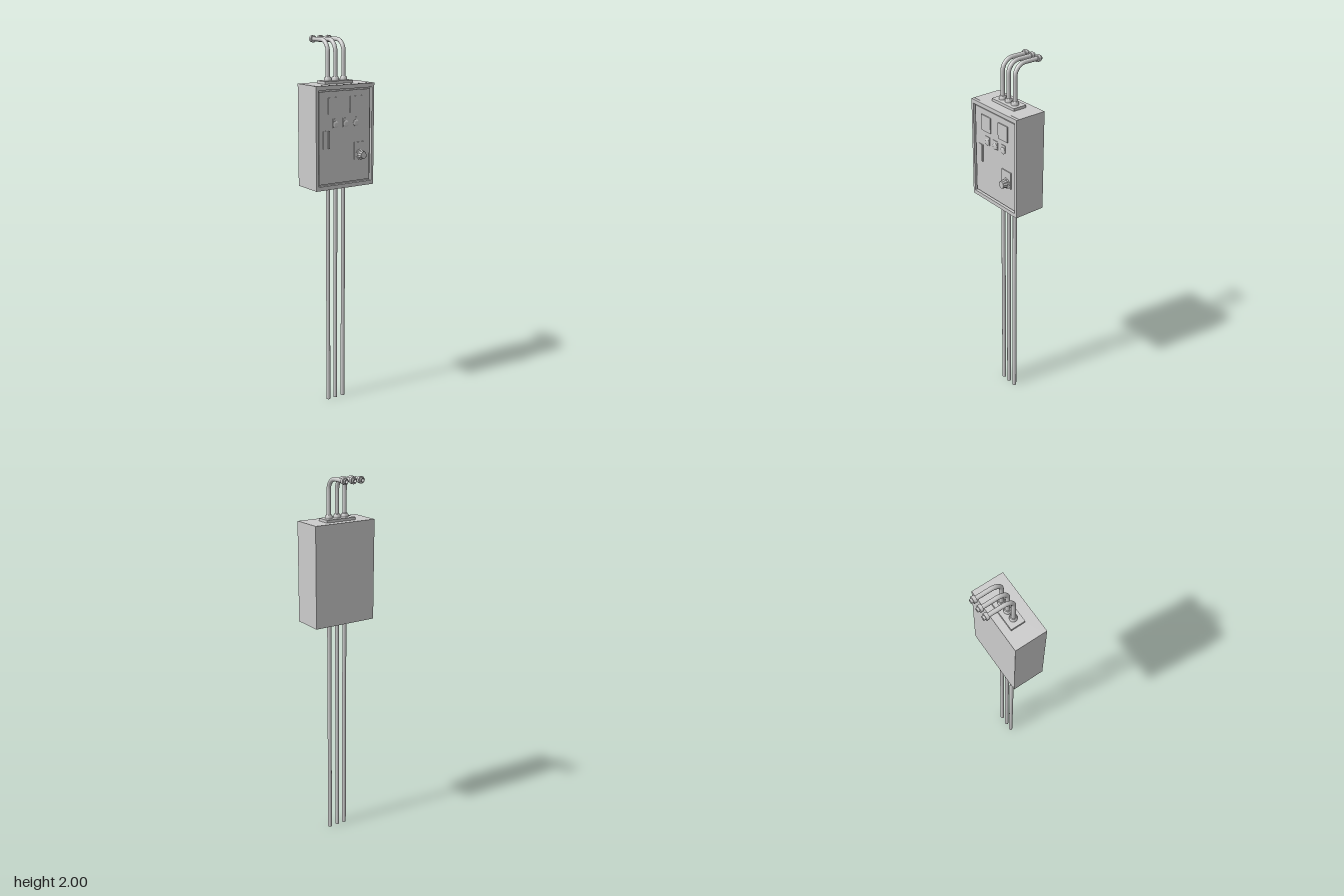
import * as THREE from 'three';
import { toCreasedNormals } from 'three/addons/utils/BufferGeometryUtils.js';

const material = new THREE.MeshStandardMaterial({ color: 0xcccccc });
const openMaterial = new THREE.MeshStandardMaterial({ color: 0xcccccc, side: THREE.DoubleSide });

function add(parent, name, geometry, x = 0, y = 0, z = 0, mat = material) {
  const mesh = new THREE.Mesh(geometry, mat);
  mesh.name = name;
  mesh.position.set(x, y, z);
  parent.add(mesh);
  return mesh;
}

// Box given by its limits on each axis
function block(parent, name, [x0, x1], [y0, y1], [z0, z1]) {
  return add(parent, name, new THREE.BoxGeometry(x1 - x0, y1 - y0, z1 - z0),
    (x0 + x1) / 2, (y0 + y1) / 2, (z0 + z1) / 2);
}

function rectangle(PathType, w, h) {
  return new PathType([[-w, -h], [w, -h], [w, h], [-w, h]].map(([x, y]) => new THREE.Vector2(x, y)));
}

function lathe(points, segments = 20) {
  const profile = points.map(([r, y]) => new THREE.Vector2(r, y));
  return toCreasedNormals(new THREE.LatheGeometry(profile, segments), 0.6);
}

// Tapered knob with grip flutes around its rim
function knobGeometry(radius, depth) {
  const points = [];
  const flutes = 10;
  for (let i = 0; i < flutes * 4; i++) {
    const a = (i / (flutes * 4)) * Math.PI * 2;
    const r = radius * (i % 4 < 2 ? 1 : 0.86);
    points.push(new THREE.Vector2(Math.cos(a) * r, Math.sin(a) * r));
  }
  const geometry = new THREE.ExtrudeGeometry(new THREE.Shape(points), { depth, bevelEnabled: false });
  const p = geometry.attributes.position;
  for (let i = 0; i < p.count; i++) {
    const s = 1 - 0.22 * (p.getZ(i) / depth);
    p.setXY(i, p.getX(i) * s, p.getY(i) * s);
  }
  geometry.computeVertexNormals();
  return geometry;
}

function createCabinet() {
  const cabinet = new THREE.Group();
  cabinet.name = 'cabinet';
  const midY = 1.498;
  block(cabinet, 'cabinetBody', [-0.178, 0.178], [1.232, 1.765], [-0.063, 0.095]);

  // Front rim around the recessed door
  const rim = rectangle(THREE.Shape, 0.178, 0.2665);
  rim.holes.push(rectangle(THREE.Path, 0.164, 0.245));
  add(cabinet, 'frontRim', new THREE.ExtrudeGeometry(rim, { depth: 0.016, bevelEnabled: false }), 0, midY, 0.095);
  block(cabinet, 'door', [-0.156, 0.156], [midY - 0.237, midY + 0.237], [0.095, 0.104]);

  // Meter windows
  for (const x of [-0.067, 0.067]) {
    block(cabinet, 'meterWindow', [x - 0.037, x + 0.037], [1.62, 1.704], [0.104, 0.109]);
  }

  // Indicator lamps on small plates
  for (const x of [-0.058, 0.005, 0.068]) {
    block(cabinet, 'lampPlate', [x - 0.018, x + 0.018], [1.55, 1.596], [0.104, 0.107]);
    const lamp = add(cabinet, 'indicatorLamp',
      lathe([[0.018, 0], [0.018, 0.004], [0.013, 0.006], [0.008, 0.0085], [0, 0.0095]]), x, 1.566, 0.105);
    lamp.rotation.x = Math.PI / 2;
  }

  // Door latch
  block(cabinet, 'latchPlate', [-0.133, -0.095], [1.445, 1.537], [0.104, 0.107]);
  block(cabinet, 'latchBar', [-0.104, -0.095], [1.445, 1.537], [0.107, 0.111]);

  // Rotary switch
  block(cabinet, 'switchPlate', [0.058, 0.13], [1.375, 1.465], [0.104, 0.109]);
  const collar = add(cabinet, 'switchCollar',
    lathe([[0.029, 0], [0.029, 0.004], [0.025, 0.006], [0, 0.006]], 24), 0.095, 1.398, 0.107);
  collar.rotation.x = Math.PI / 2;
  add(cabinet, 'switchKnob', knobGeometry(0.024, 0.029), 0.095, 1.398, 0.112);
  block(cabinet, 'knobPointer', [0.092, 0.098], [1.38, 1.418], [0.139, 0.1425]);

  // Cable entry plate
  block(cabinet, 'entryPlate', [-0.087, 0.086], [1.765, 1.779], [-0.024, 0.053]);
  return cabinet;
}

function createConduit(x) {
  const conduit = new THREE.Group();
  conduit.name = 'conduit';
  conduit.position.set(x, 0, 0.016);
  const radius = 0.011;

  // Lower riser
  add(conduit, 'lowerPipe', new THREE.CylinderGeometry(radius, radius, 1.24, 16), 0, 0.62, 0);

  // Entry socket
  add(conduit, 'entrySocket',
    lathe([[0.019, 0], [0.019, 0.014], [0.015, 0.021], [0.01, 0.021]]), 0, 1.777, 0, openMaterial);

  // Upper pipe: vertical run, bend, then a run to the back
  const top = 1.982, bend = 0.06;
  const points = [new THREE.Vector3(0, 1.77, 0), new THREE.Vector3(0, 1.85, 0)];
  for (let i = 0; i <= 8; i++) {
    const a = (i / 8) * Math.PI / 2;
    points.push(new THREE.Vector3(0, top - bend + Math.sin(a) * bend, -bend + Math.cos(a) * bend));
  }
  points.push(new THREE.Vector3(0, top, -0.1), new THREE.Vector3(0, top, -0.14));
  const path = new THREE.CatmullRomCurve3(points, false, 'centripetal');
  add(conduit, 'upperPipe', new THREE.TubeGeometry(path, 48, radius, 16), 0, 0, 0, openMaterial);

  // Collar and hollow pipe end, pointing to the back
  const collar = add(conduit, 'endCollar',
    lathe([[0.01, 0], [0.018, 0], [0.018, 0.016], [0.01, 0.016]]), 0, top, -0.135, openMaterial);
  collar.rotation.x = -Math.PI / 2;
  collar.position.z = -0.135;
  const mouth = add(conduit, 'pipeMouth',
    lathe([[0.011, 0], [0.011, 0.023], [0.008, 0.023], [0.008, 0.004], [0, 0.004]]), 0, top, -0.138, openMaterial);
  mouth.rotation.x = -Math.PI / 2;
  collar.position.z = -0.134;
  return conduit;
}

export function createModel() {
  const model = new THREE.Group();
  model.name = 'electricalCabinet';
  model.add(createCabinet());
  for (const x of [-0.046, 0, 0.05]) model.add(createConduit(x));
  return model;
}
